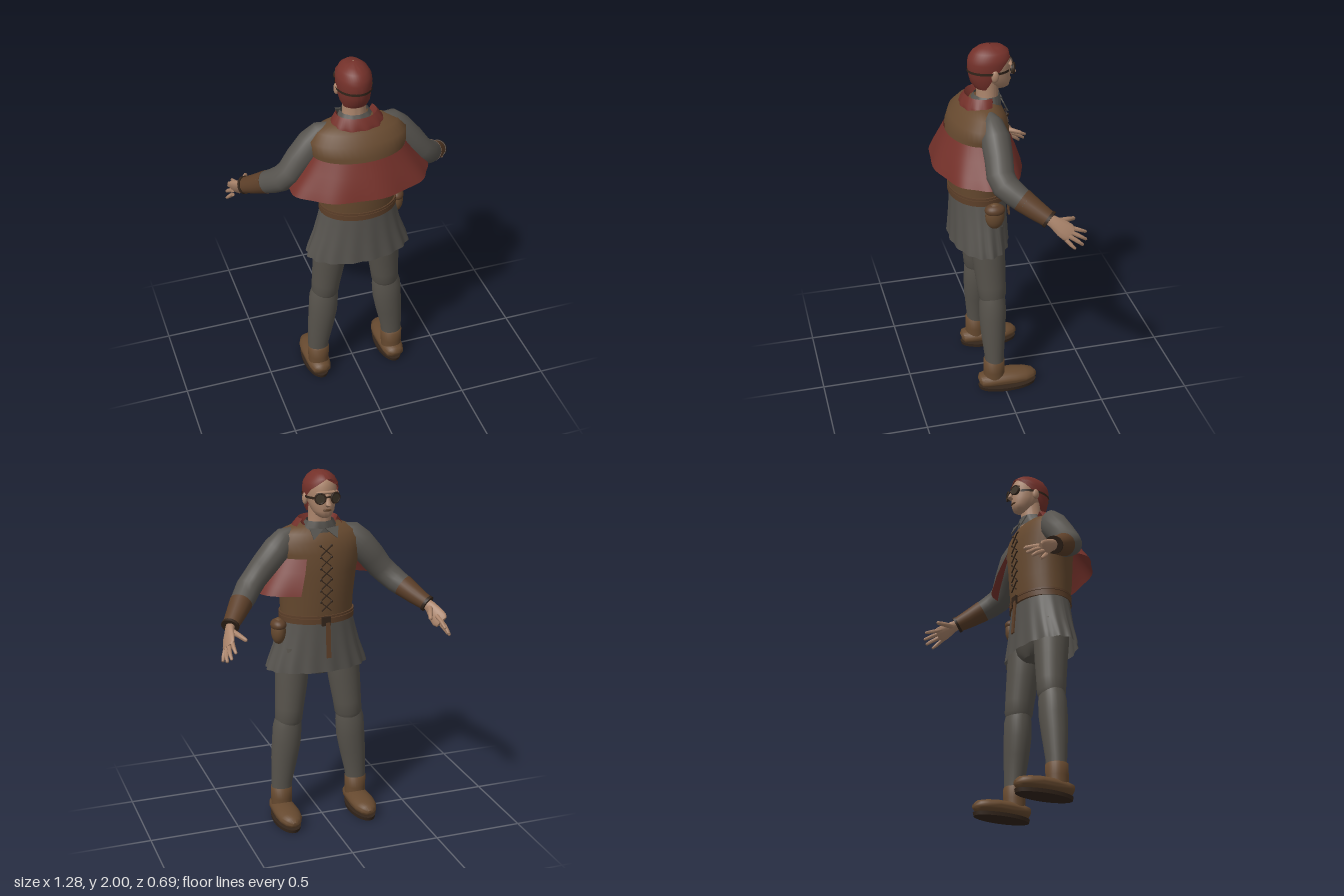
import * as THREE from 'three';
import { toCreasedNormals } from 'three/addons/utils/BufferGeometryUtils.js';

const material = (name, color, double) =>
  new THREE.MeshStandardMaterial({ name, color, side: double ? THREE.DoubleSide : THREE.FrontSide });

// Joins rings of points into a surface; closed rings can be capped at both ends
function skin(rings, closed = true, capped = true) {
  const n = rings[0].length, pos = [], idx = [];
  rings.forEach(r => r.forEach(p => pos.push(p.x, p.y, p.z)));
  for (let i = 0; i < rings.length - 1; i++) {
    for (let j = 0; j < (closed ? n : n - 1); j++) {
      const k = (j + 1) % n, a = i * n + j, b = i * n + k;
      idx.push(a, b, a + n, b, b + n, a + n);
    }
  }
  if (closed && capped) {
    [0, rings.length - 1].forEach((i, end) => {
      const c = new THREE.Vector3();
      rings[i].forEach(p => c.addScaledVector(p, 1 / n));
      const m = pos.length / 3;
      pos.push(c.x, c.y, c.z);
      for (let j = 0; j < n; j++) {
        const a = i * n + j, b = i * n + (j + 1) % n;
        if (end) idx.push(m, a, b); else idx.push(m, b, a);
      }
    });
  }
  const g = new THREE.BufferGeometry();
  g.setAttribute('position', new THREE.Float32BufferAttribute(pos, 3));
  g.setIndex(idx);
  return toCreasedNormals(g, 0.9);
}

// Upright form from level sections [y, halfWidth, zBack, zFront]
function upright(sections, { seg = 40, capped = true, wave = () => 0, from, to } = {}) {
  const open = from !== undefined;
  const rings = sections.map(([y, rx, zb, zf], i) => {
    const a = open ? from(i) : 0, b = open ? to(i) : Math.PI * 2;
    return Array.from({ length: open ? seg + 1 : seg }, (_, j) => {
      const t = a + (b - a) * j / seg, w = 1 + wave(t, i);
      return new THREE.Vector3(rx * w * Math.sin(t), y, (zb + zf) / 2 + (zb - zf) / 2 * w * Math.cos(t));
    });
  });
  return skin(rings, !open, capped);
}

// Limb along points [x, y, z, radius, otherRadius]; radius lies towards ref
function limb(points, ref = [0, 1, 0], seg = 18) {
  const p = points.map(q => new THREE.Vector3(q[0], q[1], q[2]));
  return skin(points.map((q, i) => {
    const w = p[Math.min(i + 1, p.length - 1)].clone().sub(p[Math.max(i - 1, 0)]).normalize();
    const u = new THREE.Vector3(...ref);
    u.addScaledVector(w, -u.dot(w)).normalize();
    const v = w.clone().cross(u);
    return Array.from({ length: seg }, (_, j) => {
      const t = j / seg * Math.PI * 2;
      return p[i].clone().addScaledVector(u, q[3] * Math.cos(t)).addScaledVector(v, (q[4] ?? q[3]) * Math.sin(t));
    });
  }));
}

export function createModel() {
  const group = new THREE.Group();
  const leather = material('brown leather', 0x66492f);
  const cuffBrown = material('cuff brown', 0x5c3f29);
  const red = material('red cloth', 0x74312a, true);
  const grey = material('grey cloth', 0x56534e, true);
  const hose = material('grey hose', 0x56524b);
  const skinTone = material('skin', 0xa9836a);
  const dark = material('dark sole and straps', 0x33251b, true);
  const lens = material('lens', 0x3d3428);
  const add = (name, geometry, mat, x = 0, y = 0, z = 0) => {
    const m = new THREE.Mesh(geometry, mat);
    m.name = name;
    m.position.set(x, y, z);
    group.add(m);
    return m;
  };
  const ball = (r, sx, sy, sz) => new THREE.SphereGeometry(r, 24, 16).scale(sx, sy, sz);

  // Torso clothing
  add('vest', upright([[1.18, .2, .243, -.058], [1.3, .207, .257, -.07], [1.45, .225, .26, -.075],
    [1.56, .262, .257, -.07], [1.62, .262, .235, -.056], [1.665, .22, .19, -.035],
    [1.695, .15, .155, -.005], [1.705, .08, .12, 0]]), leather);
  add('tunicSkirt', upright([[1.2, .2, .24, -.055], [1.12, .218, .242, -.057], [1.02, .245, .246, -.06],
    [.93, .278, .25, -.063], [.89, .288, .253, -.065]].reverse(),
    { seg: 120, capped: false, wave: (t, i) => .025 * (1 - i / 4) * Math.sin(t * 16) }), grey);
  add('pelvis', upright([[.86, .07, .14, 0], [.9, .15, .18, -.02], [.99, .2, .21, -.04], [1.1, .19, .21, -.04]]), hose);
  for (const [y, h] of [[1.17, .03], [1.203, .012]])
    add('belt', upright([[y, .212, .252, -.068], [y + h, .212, .252, -.068]]), cuffBrown);
  add('buckle', new THREE.BoxGeometry(.05, .05, .012), dark, 0, 1.187, -.073);
  add('beltTail', new THREE.BoxGeometry(.025, .2, .008), cuffBrown, -.01, 1.08, -.082).rotation.x = .07;
  add('pouch', ball(1, .04, .075, .052), leather, .232, 1.12, .052);
  add('pouchFlap', ball(1, .043, .035, .055), cuffBrown, .232, 1.155, .052);

  // Crossed laces down the chest
  for (let i = 0; i < 6; i++) {
    const y = 1.27 + i * .062, z = i > 4 ? -.073 : -.077;
    for (const s of [-1, 1]) {
      add('lace', new THREE.BoxGeometry(.005, .072, .006), dark, 0, y, z).rotation.z = s * .85;
      add('eyelet', ball(.007, 1, 1, .7), dark, s * .03, y + .027, z + .003);
    }
  }

  // Cape around the back, with one end wrapped under the left arm
  add('cape', upright([[1.355, .385, .34, -.14], [1.4, .355, .325, -.13], [1.47, .3, .295, -.105], [1.54, .255, .262, -.075]],
    { seg: 100, from: () => -1.85, to: () => 2.72, wave: (t, i) => .02 * (1 - i / 3) * Math.sin(t * 9) }), red);

  // Collars
  add('redCollar', upright([[1.68, .145, .182, -.02], [1.7, .137, .178, -.02], [1.738, .108, .155, -.02]],
    { from: () => -2, to: () => 2, wave: (t, i) => i ? 0 : .03 * Math.sin(t * 12) }), red);
  add('redCollarFold', upright([[1.738, .108, .155, -.02], [1.7, .09, .13, -.02]].reverse(),
    { from: () => -2, to: () => 2 }), red);
  add('shirtCollar', upright([[1.67, .11, .14, -.035], [1.705, .088, .12, -.035], [1.73, .075, .105, -.03]],
    { capped: false, wave: t => .02 * Math.sin(t * 10) }), grey);
  const flap = new THREE.Shape([[0, 0], [.075, .01], [.06, -.055]].map(q => new THREE.Vector2(...q)));
  for (const s of [-1, 1]) {
    const f = add('collarFlap', new THREE.ExtrudeGeometry(flap, { depth: .006, bevelEnabled: false }), grey, s * .005, 1.692, -.04);
    f.rotation.set(.45, s < 0 ? Math.PI : 0, 0);
    if (s < 0) f.rotation.x = -.45 + .9;
  }

  // Head and neck
  add('neck', upright([[1.66, .075, .1, -.03], [1.72, .062, .092, -.022], [1.82, .06, .095, -.03]]), skinTone);
  add('head', upright([[1.757, .022, 0, -.066], [1.768, .04, .02, -.08], [1.795, .06, .06, -.086], [1.835, .073, .1, -.088],
    [1.88, .08, .115, -.084], [1.925, .08, .115, -.086], [1.96, .065, .1, -.068], [1.98, .04, .07, -.03]]), skinTone);
  add('nose', limb([[0, 1.888, -.082, .007, .009], [0, 1.855, -.1, .011, .011], [0, 1.838, -.108, .013, .016],
    [0, 1.828, -.092, .008, .012]], [0, 0, -1], 12), skinTone);
  add('lips', ball(1, .024, .007, .008), cuffBrown, 0, 1.803, -.084);
  add('brow', ball(1, .06, .01, .016), skinTone, 0, 1.897, -.077);
  const edge = [1.35, 1.5, 1.62, 1.95, 2.2, 2.55, Math.PI, Math.PI, Math.PI];
  add('hood', upright([[1.77, .066, .102, -.01], [1.8, .08, .124, -.05], [1.84, .088, .134, -.08], [1.88, .092, .139, -.088],
    [1.91, .093, .139, -.092], [1.935, .09, .134, -.094], [1.965, .073, .115, -.076], [1.988, .045, .085, -.045], [2, .004, .025, .015]],
    { from: i => -edge[i], to: i => edge[i] }), red);
  add('goggleStrap', upright([[1.86, .096, .142, -.09], [1.874, .097, .143, -.091]],
    { from: () => -2.5, to: () => 2.5 }), dark);
  add('goggleBridge', new THREE.BoxGeometry(.04, .008, .008), dark, 0, 1.876, -.1);
  for (const s of [-1, 1]) {
    add('ear', ball(1, .014, .032, .02), skinTone, s * .089, 1.852, .014);
    const turn = s * -.35;
    const g = add('goggleLens', new THREE.CylinderGeometry(.026, .026, .016, 24).rotateX(Math.PI / 2), lens, s * .042, 1.87, -.091);
    g.rotation.y = turn;
    const rim = add('goggleRim', new THREE.TorusGeometry(.027, .005, 8, 24), dark, s * .042, 1.87, -.097);
    rim.rotation.y = turn;
  }

  for (const s of [-1, 1]) {
    // Arms
    const arm = (name, pts, mat, ref, seg) => add(name, limb(pts.map(([x, ...r]) => [s * x, ...r]), ref, seg), mat);
    arm('sleeve', [[.13, 1.645, .06, .035, .05], [.18, 1.625, .055, .06, .075], [.235, 1.575, .05, .078, .08], [.305, 1.495, .05, .074, .076],
      [.36, 1.425, .055, .073, .07], [.4, 1.385, .04, .072, .068], [.435, 1.35, 0, .066, .065], [.48, 1.315, -.05, .058, .058]], grey, [0, 0, 1], 20);
    arm('cuff', [[.462, 1.33, -.03, .063, .062], [.51, 1.288, -.09, .054, .052], [.558, 1.25, -.15, .044, .041]], cuffBrown, [0, 0, 1], 20);
    arm('cuffRim', [[.552, 1.255, -.143, .05, .047], [.56, 1.248, -.153, .05, .047]], dark, [0, 0, 1], 20);
    // Hands
    arm('palm', [[.55, 1.256, -.14, .027, .025], [.567, 1.238, -.17, .033, .021], [.583, 1.205, -.21, .045, .019],
      [.593, 1.182, -.24, .048, .017], [.599, 1.172, -.255, .038, .012]], skinTone, [-.5, .85, 0]);
    const fingers = [
      ['thumb', [.562, 1.235, -.18], [.538, 1.226, -.24], [.512, 1.213, -.3], .014],
      ['indexFinger', [.576, 1.205, -.24], [.582, 1.185, -.295], [.582, 1.165, -.342], .011],
      ['middleFinger', [.592, 1.187, -.245], [.603, 1.16, -.295], [.604, 1.132, -.338], .011],
      ['ringFinger', [.603, 1.167, -.24], [.618, 1.137, -.285], [.622, 1.112, -.315], .011],
      ['littleFinger', [.608, 1.15, -.225], [.625, 1.122, -.25], [.634, 1.102, -.27], .01]];
    for (const [name, a, b, c, r] of fingers) {
      const tip = c.map((v, i) => v - (c[i] - b[i]) * .12);
      arm(name, [[...a, r * 1.15], [...b, r], [...tip, r * .75], [...c, r * .3]], skinTone, [0, 1, 0], 10);
    }
    // Legs
    const leg = (name, pts, mat) => arm(name, pts, mat, [0, 0, 1], 28);
    leg('calf', [[.224, .15, .052, .052, .058], [.222, .22, .053, .055, .06], [.205, .36, .055, .068, .075],
      [.192, .46, .055, .074, .082], [.186, .55, .054, .073, .082], [.181, .592, .054, .066, .075]], hose);
    leg('thigh', [[.178, .575, .054, .068, .07], [.178, .597, .054, .077, .077], [.172, .66, .057, .08, .08],
      [.157, .8, .066, .089, .09], [.146, .92, .075, .097, .095], [.14, 1.02, .08, .1, .09]], hose);
    // Boots
    leg('bootShaft', [[.224, .05, .055, .06, .058], [.224, .12, .055, .06, .06], [.224, .185, .055, .06, .061], [.224, .192, .055, .052, .053]], leather);
    arm('shoe', [[.225, .05, .142, .018, .025], [.225, .054, .13, .036, .05], [.225, .057, .09, .042, .062], [.225, .06, .02, .044, .068],
      [.225, .06, -.06, .043, .071], [.225, .056, -.12, .04, .064], [.225, .053, -.165, .033, .045], [.225, .05, -.188, .014, .02]], leather, [0, 1, 0], 28);
    const sole = add('sole', new THREE.CylinderGeometry(1, .97, .02, 36), dark, s * .225, .01, -.022);
    sole.scale.set(.072, 1, .168);
  }
  return group;
}
